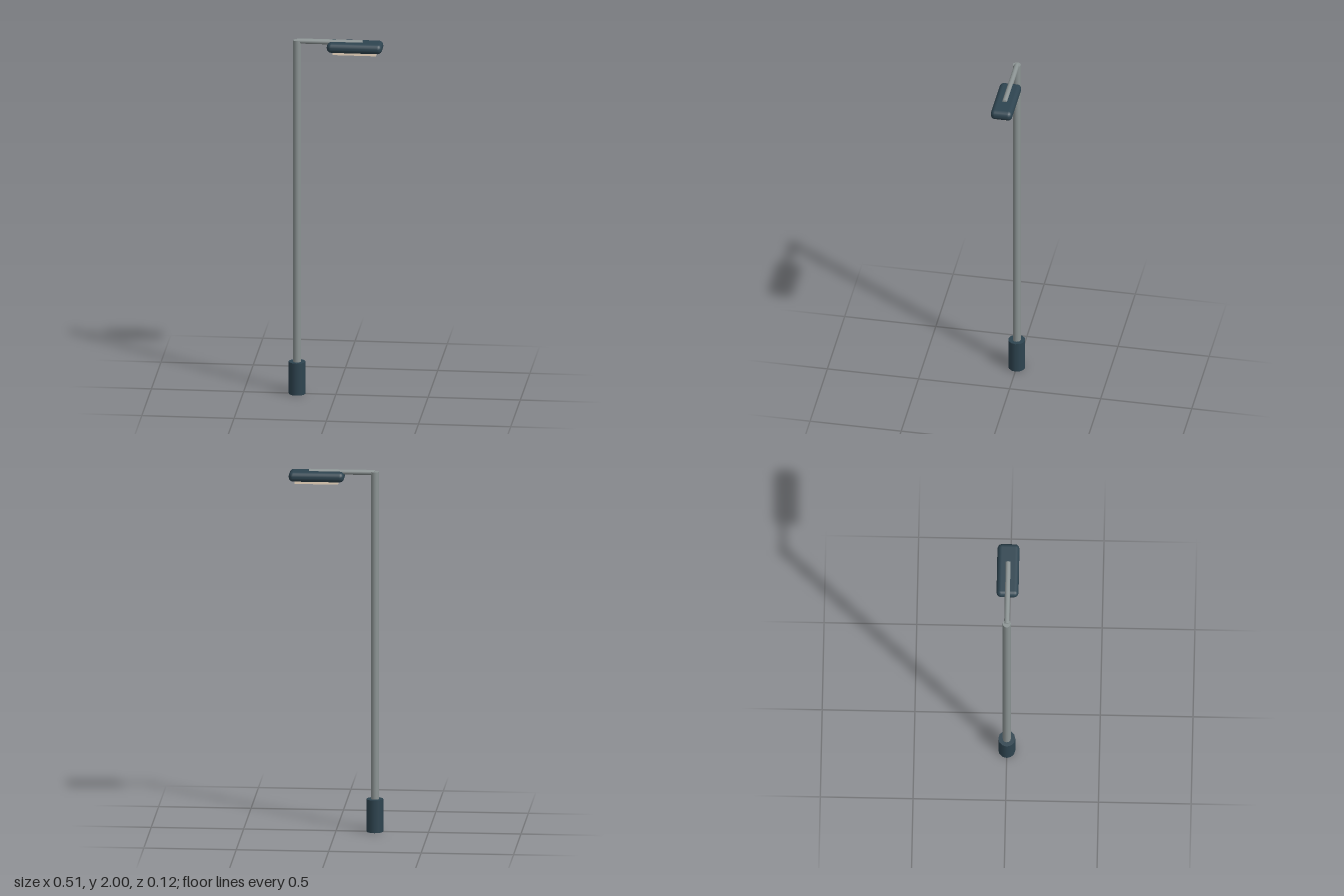
import * as THREE from 'three';
import { RoundedBoxGeometry } from 'three/addons/geometries/RoundedBoxGeometry.js';

const POLE_X = -0.21;

export function createModel() {
  const group = new THREE.Group();
  const metal = new THREE.MeshStandardMaterial({ color: 0x8c9494 });
  const dark = new THREE.MeshStandardMaterial({ color: 0x2e4450 });
  const glow = new THREE.MeshStandardMaterial({ color: 0xf0dcc4 });

  const add = (name, geometry, material, x, y) => {
    const mesh = new THREE.Mesh(geometry, material);
    mesh.name = name;
    mesh.position.set(x, y, 0);
    group.add(mesh);
    return mesh;
  };

  // Base sleeve and upright
  add('base', new THREE.CylinderGeometry(0.046, 0.046, 0.18, 12), dark, POLE_X, 0.09);
  add('pole', new THREE.CylinderGeometry(0.022, 0.022, 1.99, 12), metal, POLE_X, 0.995);

  // Horizontal arm, from the pole's axis to over the lamp head
  const armLength = 0.355;
  const arm = new THREE.CylinderGeometry(0.0145, 0.0145, armLength, 12).rotateZ(Math.PI / 2);
  add('arm', arm, metal, POLE_X + armLength / 2, 1.9855);

  // Lamp head with the light panel below it
  add('lampHead', new RoundedBoxGeometry(0.3, 0.055, 0.119, 2, 0.025), dark, 0.104, 1.9625);
  add('lightPanel', new THREE.BoxGeometry(0.235, 0.02, 0.083), glow, 0.104, 1.934);

  return group;
}
